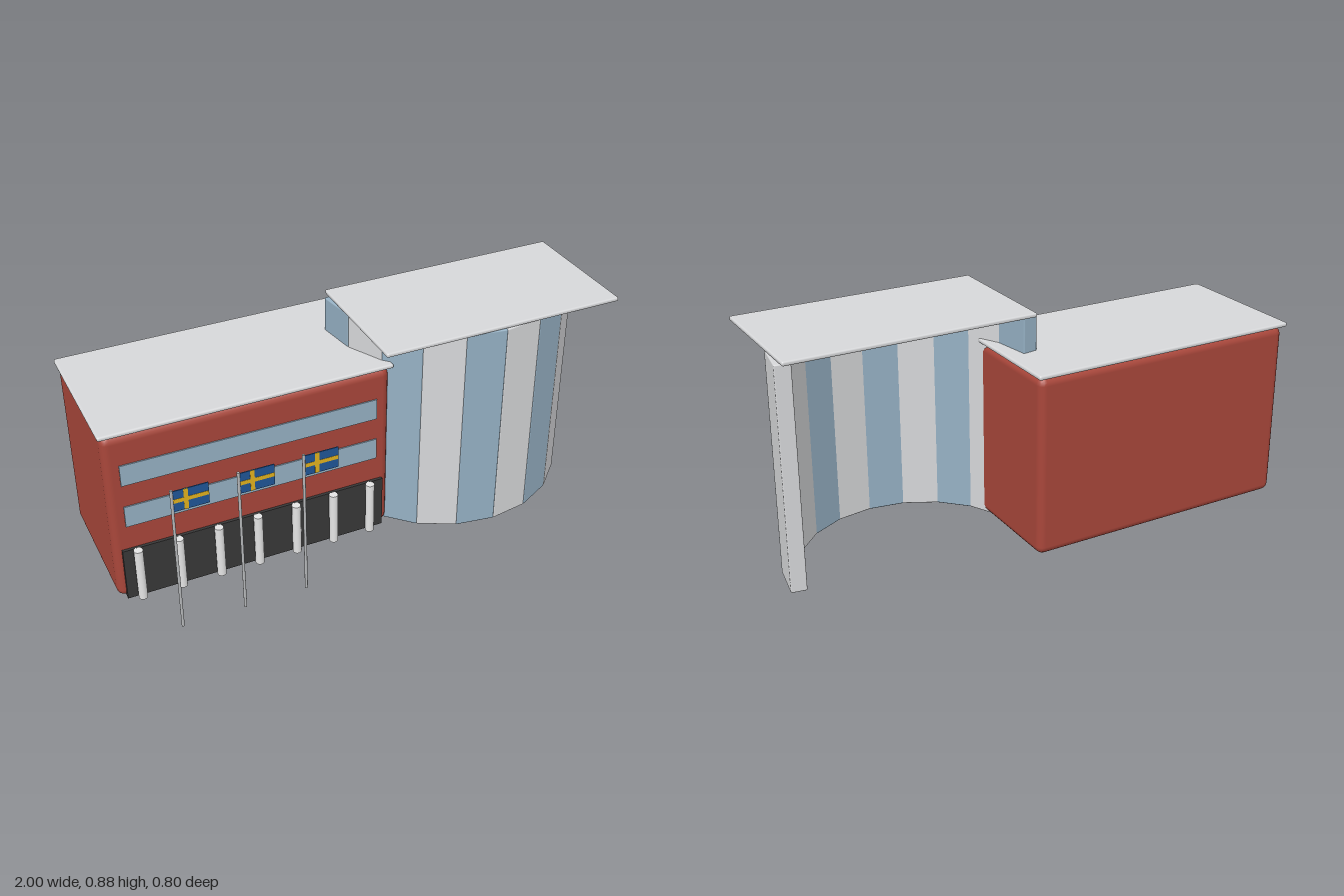
import * as THREE from 'three';
import { RoundedBoxGeometry } from 'three/addons/geometries/RoundedBoxGeometry.js';

function material(name, color) {
  const m = new THREE.MeshStandardMaterial({ color });
  m.name = name;
  return m;
}

export function createModel() {
  const brick = material('brick red', 0xa8463a);
  const panelGrey = material('light grey', 0xd6d7d9);
  const glass = material('glass blue', 0x95b0c3);
  const dark = material('entrance dark', 0x383838);
  const white = material('column white', 0xe4e4e4);
  const metal = material('pole metal', 0xb4b6b8);
  const flagBlue = material('flag blue', 0x1f5596);
  const flagYellow = material('flag yellow', 0xe2b21e);

  const model = new THREE.Group();
  model.name = 'building';

  const add = (parent, name, geometry, mat, x, y, z) => {
    const mesh = new THREE.Mesh(geometry, mat);
    mesh.name = name;
    mesh.position.set(x, y, z);
    parent.add(mesh);
    return mesh;
  };
  // Box given by its limits, optionally rounded
  const span = (parent, name, mat, [x0, x1], [y0, y1], [z0, z1], radius = 0) => {
    const size = [x1 - x0, y1 - y0, z1 - z0];
    const geometry = radius
      ? new RoundedBoxGeometry(...size, 2, radius)
      : new THREE.BoxGeometry(...size);
    return add(parent, name, geometry, mat, (x0 + x1) / 2, (y0 + y1) / 2, (z0 + z1) / 2);
  };

  // Rectangular wing
  const wing = new THREE.Group();
  wing.name = 'rectangularWing';
  model.add(wing);
  span(wing, 'wingBody', brick, [-0.99, 0.11], [0, 0.706], [-0.388, 0.16], 0.03);
  span(wing, 'wingRoof', panelGrey, [-1, 0.12], [0.708, 0.726], [-0.4, 0.17], 0.008);
  span(wing, 'entranceBand', dark, [-0.96, 0.08], [0, 0.22], [0.1, 0.172]);
  for (const [y0, y1] of [[0.32, 0.408], [0.5, 0.586]]) {
    span(wing, 'windowBand', glass, [-0.935, 0.055], [y0, y1], [0.157, 0.165]);
  }

  // Entrance columns
  const columnGeometry = new THREE.CylinderGeometry(0.017, 0.017, 0.22, 20);
  for (let i = 0; i < 7; i++) {
    add(wing, 'column', columnGeometry, white, -0.906 + i * 0.1543, 0.11, 0.185);
  }

  // Half-round hall of alternating wall panels, open at the back
  const hall = new THREE.Group();
  hall.name = 'roundHall';
  model.add(hall);
  const cx = 0.497, cz = -0.17, radius = 0.502, count = 10, thickness = 0.06;
  const step = Math.PI / count;
  const width = 2 * radius * Math.sin(step / 2);
  const mid = radius * Math.cos(step / 2) - thickness / 2;
  const panelGeometry = new RoundedBoxGeometry(width, 0.864, thickness, 2, 0.005);
  for (let i = 0; i < count; i++) {
    const a = (i + 0.5) * step;
    const panel = add(hall, 'wallPanel', panelGeometry, i % 2 ? glass : panelGrey,
      cx + mid * Math.cos(a), 0.432, cz + mid * Math.sin(a));
    panel.rotation.y = Math.PI / 2 - a;
  }
  span(hall, 'hallRoof', panelGrey, [0.01, 0.98], [0.864, 0.881], [-0.2, 0.326], 0.007);

  // Flagpoles with cross flags
  const poleGeometry = new THREE.CylinderGeometry(0.0055, 0.0055, 0.605, 12);
  for (const x of [-0.825, -0.585, -0.343]) {
    const flagpole = new THREE.Group();
    flagpole.name = 'flagpole';
    flagpole.position.set(x, 0, 0.394);
    model.add(flagpole);
    add(flagpole, 'pole', poleGeometry, metal, 0, 0.3025, 0);
    span(flagpole, 'flagCloth', flagBlue, [0.003, 0.132], [0.515, 0.6], [-0.002, 0.002]);
    span(flagpole, 'flagCrossUpright', flagYellow, [0.042, 0.058], [0.515, 0.6], [-0.003, 0.003]);
    span(flagpole, 'flagCrossBar', flagYellow, [0.003, 0.132], [0.55, 0.566], [-0.003, 0.003]);
  }

  return model;
}
